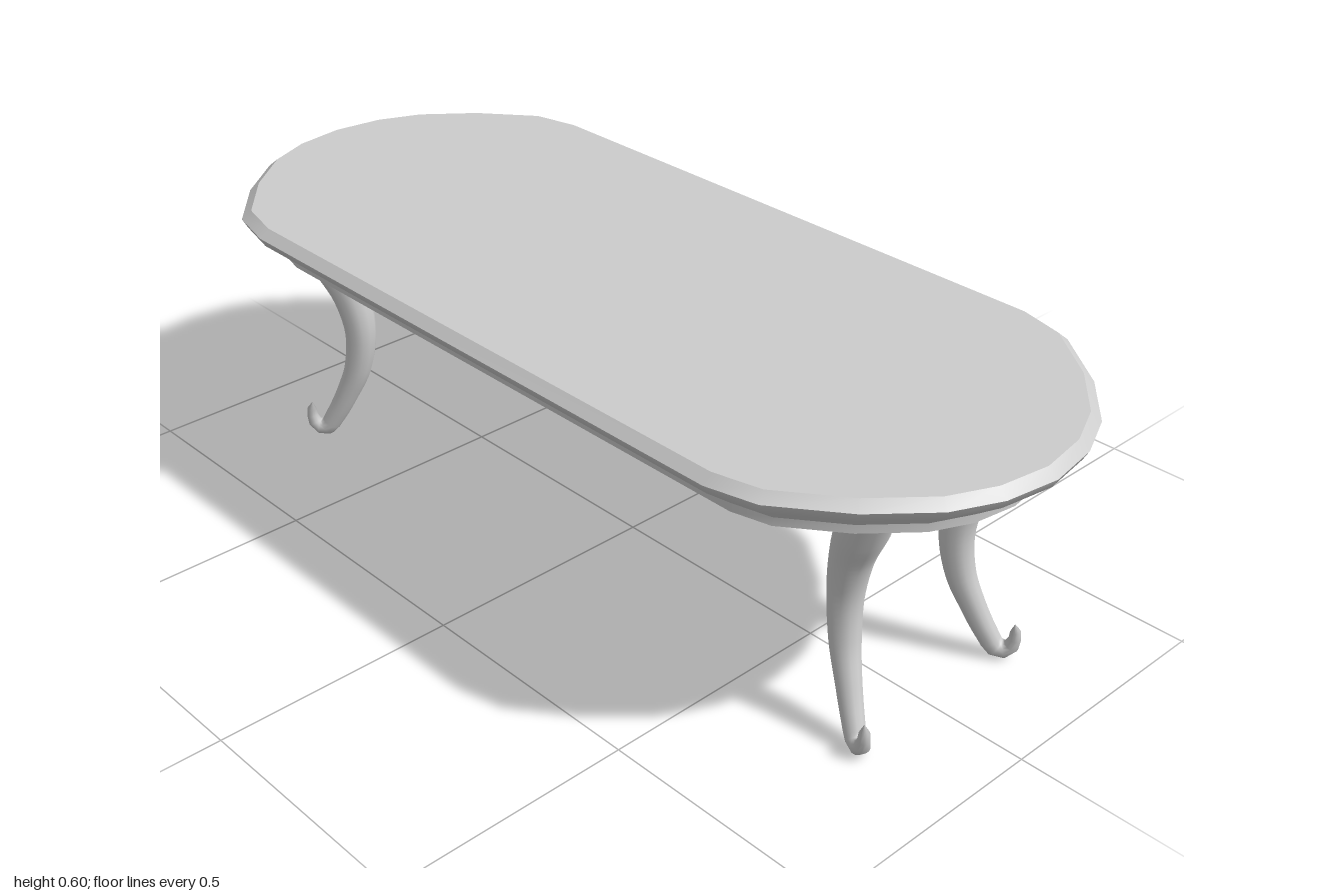
import * as THREE from 'three';

const material = new THREE.MeshStandardMaterial({ color: 0xcccccc, side: THREE.DoubleSide });

// Half outline of the table top (x, z), from front centre round to back centre
const half = [
  [0, 1], [0.11, 0.983], [0.205, 0.94], [0.31, 0.85], [0.405, 0.725], [0.43, 0.625],
  [0.43, -0.64], [0.405, -0.745], [0.31, -0.86], [0.205, -0.945], [0.11, -0.985], [0, -1],
];
const outline = [...half, ...half.slice(1, -1).reverse().map(([x, z]) => [-x, z])]
  .map(([x, z]) => new THREE.Vector2(x, z));

// Move the outline inwards by a constant distance
function insetOutline(d) {
  const n = outline.length;
  return outline.map((p, i) => {
    const a = p.clone().sub(outline[(i + n - 1) % n]).normalize();
    const b = outline[(i + 1) % n].clone().sub(p).normalize();
    const inward = new THREE.Vector2(a.y + b.y, -a.x - b.x).normalize();
    const miter = d / Math.sqrt((1 + a.dot(b)) / 2);
    return p.clone().addScaledVector(inward, miter);
  });
}

// Edge band through several [inset, y] levels, smooth within the band
function band(name, levels) {
  const n = outline.length, pos = [], idx = [];
  levels.forEach(([d, y]) => insetOutline(d).forEach((p) => pos.push(p.x, y, p.y)));
  for (let l = 0; l < levels.length - 1; l++) {
    for (let i = 0; i < n; i++) {
      const a = l * n + i, b = l * n + (i + 1) % n;
      idx.push(a, a + n, b, b, a + n, b + n);
    }
  }
  const g = new THREE.BufferGeometry();
  g.setAttribute('position', new THREE.Float32BufferAttribute(pos, 3));
  g.setIndex(idx);
  g.computeVertexNormals();
  return named(name, g);
}

function named(name, geometry) {
  const mesh = new THREE.Mesh(geometry, material);
  mesh.name = name;
  return mesh;
}

// Flat face closing the slab; facing is +1 for up and -1 for down
function cap(name, d, y, facing) {
  const points = insetOutline(d).map((p) => new THREE.Vector2(p.x, -facing * p.y));
  const g = new THREE.ShapeGeometry(new THREE.Shape(points));
  g.rotateX(-facing * Math.PI / 2).translate(0, y, 0);
  return named(name, g);
}

// Leg centreline: [outward offset, height, radius], from the top to the curled toe
const legProfile = [
  [0.068, 0.515, 0.05], [0.045, 0.45, 0.048], [0.014, 0.37, 0.04], [0, 0.28, 0.034],
  [0.01, 0.19, 0.03], [0.034, 0.12, 0.025], [0.06, 0.06, 0.022], [0.08, 0.026, 0.02],
  [0.098, 0.027, 0.017], [0.107, 0.05, 0.012], [0.106, 0.076, 0.009], [0.105, 0.084, 0],
];

// Tapered cabriole leg, starting at (x, z) and splaying sideways by the given ratio
function leg(name, x, z, splay) {
  const sx = Math.sign(x), sz = Math.sign(z), rings = 36, sides = 12;
  const curve = new THREE.CatmullRomCurve3(legProfile.map(([d, y]) =>
    new THREE.Vector3(x + sx * splay * d, y, z + sz * d)));
  const g = new THREE.TubeGeometry(curve, rings, 1, sides);
  const pos = g.attributes.position, v = new THREE.Vector3();
  for (let i = 0; i <= rings; i++) {
    const centre = curve.getPointAt(i / rings);
    const t = curve.getUtoTmapping(i / rings) * (legProfile.length - 1);
    const k = Math.min(Math.floor(t), legProfile.length - 2);
    const r = THREE.MathUtils.lerp(legProfile[k][2], legProfile[k + 1][2], t - k);
    for (let j = 0; j <= sides; j++) {
      const q = i * (sides + 1) + j;
      v.fromBufferAttribute(pos, q).sub(centre).multiplyScalar(r).add(centre);
      pos.setXYZ(q, v.x, v.y, v.z);
    }
  }
  return named(name, g);
}

export function createModel() {
  const table = new THREE.Group();
  table.name = 'table';

  // Table top: flat surface, bevel, sloping underside and narrow apron
  const top = new THREE.Group();
  top.name = 'tableTop';
  top.add(
    cap('surface', 0.02, 0.603, 1),
    band('bevel', [[0.02, 0.603], [0, 0.586]]),
    band('slopingEdge', [[0, 0.586], [0.01, 0.567], [0.074, 0.517]]),
    band('apron', [[0.074, 0.517], [0.074, 0.5]]),
    cap('underside', 0.074, 0.5, -1),
  );
  table.add(top);

  // Legs, slightly uneven in placement
  table.add(
    leg('frontLeftLeg', 0.155, 0.704, 0.63),
    leg('frontRightLeg', -0.152, 0.704, 0.5),
    leg('backLeftLeg', 0.167, -0.67, 0.6),
    leg('backRightLeg', -0.187, -0.67, 0.7),
  );
  return table;
}
